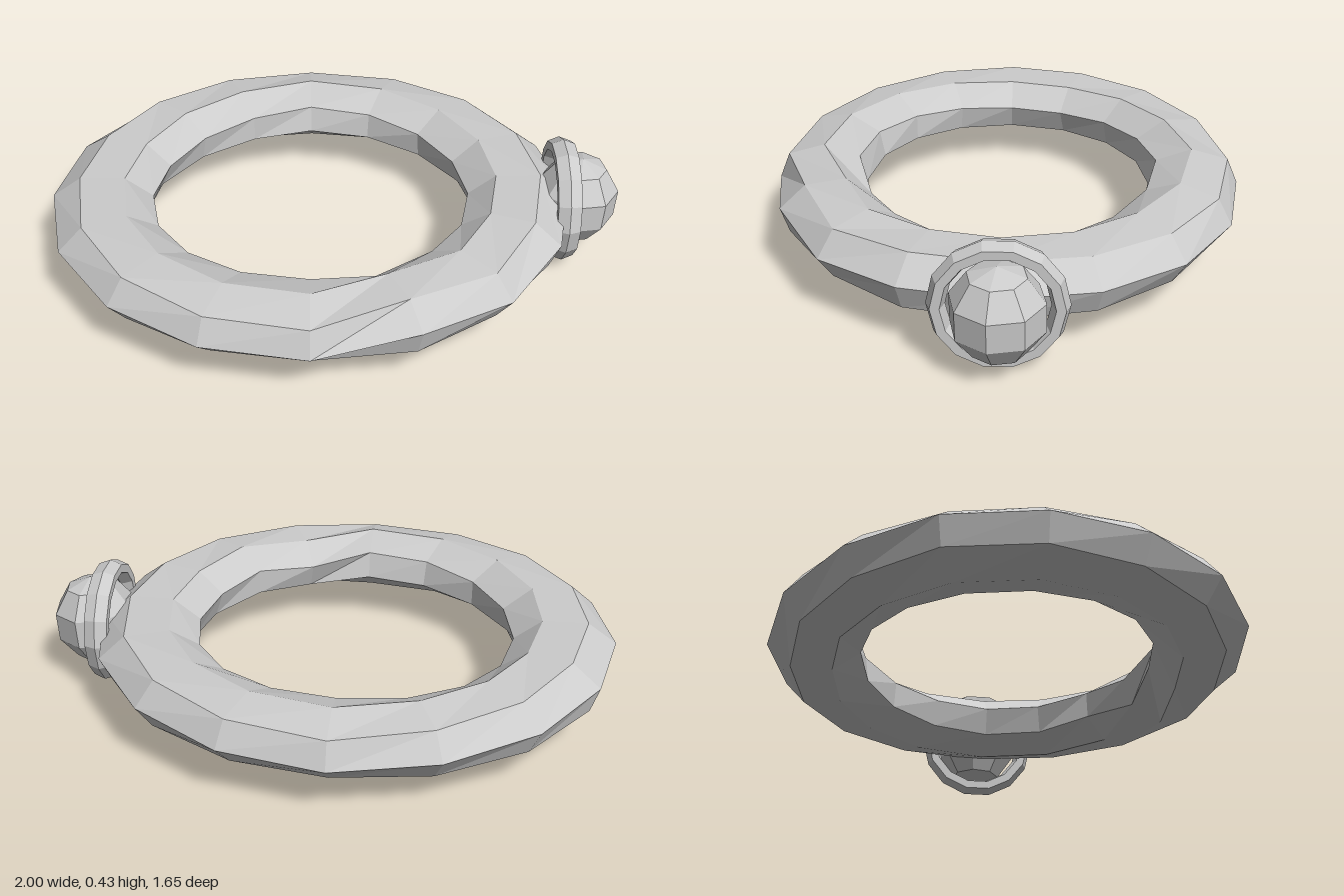
import * as THREE from 'three';

const material = new THREE.MeshStandardMaterial({ color: 0xcccccc, flatShading: true });

function addMesh(parent, name, geometry) {
  const mesh = new THREE.Mesh(geometry, material);
  mesh.name = name;
  parent.add(mesh);
  return mesh;
}

// Seven-sided flattened tube around an oval, each section rolled by a few degrees
function bandGeometry() {
  const rolls = [14, 12, 2, 14, -11, -8, 0, 8, 14, 15, 8, 0, -10, -5, 3, 10];
  const sides = 7, count = rolls.length;
  const positions = [], index = [];
  rolls.forEach((roll, i) => {
    const a = (i / count) * Math.PI * 2;
    for (let j = 0; j < sides; j++) {
      const b = THREE.MathUtils.degToRad(roll) + (j / sides) * Math.PI * 2;
      const r = 0.665 + 0.164 * Math.cos(b);
      positions.push(1.105 * r * Math.cos(a), 0.108 * Math.sin(b), r * Math.sin(a));
      const i2 = (i + 1) % count, j2 = (j + 1) % sides;
      const p = i * sides + j, q = i * sides + j2;
      const s = i2 * sides + j, t = i2 * sides + j2;
      index.push(p, q, s, q, t, s);
    }
  });
  const geometry = new THREE.BufferGeometry();
  geometry.setAttribute('position', new THREE.Float32BufferAttribute(positions, 3));
  geometry.setIndex(index);
  geometry.computeVertexNormals();
  return geometry;
}

export function createModel() {
  const model = new THREE.Group();
  model.name = 'ring';

  // Oval band lying flat
  addMesh(model, 'band', bandGeometry()).position.set(-0.085, 0.225, 0);

  // Setting on the left end of the band
  const setting = new THREE.Group();
  setting.name = 'setting';
  setting.position.set(0.803, 0.225, 0);
  model.add(setting);

  // Upright collar around the stone
  const collar = addMesh(setting, 'collar', new THREE.TorusGeometry(0.19, 0.03, 6, 14));
  collar.rotation.y = Math.PI / 2;
  collar.scale.z = 1.55;

  // Faceted stone, slightly turned
  const stone = addMesh(setting, 'stone', new THREE.SphereGeometry(0.15, 8, 5));
  stone.position.set(0.055, 0.005, 0);
  stone.rotation.set(0, -0.2, -0.06);
  stone.scale.set(1, 1.08, 1.05);

  return model;
}
